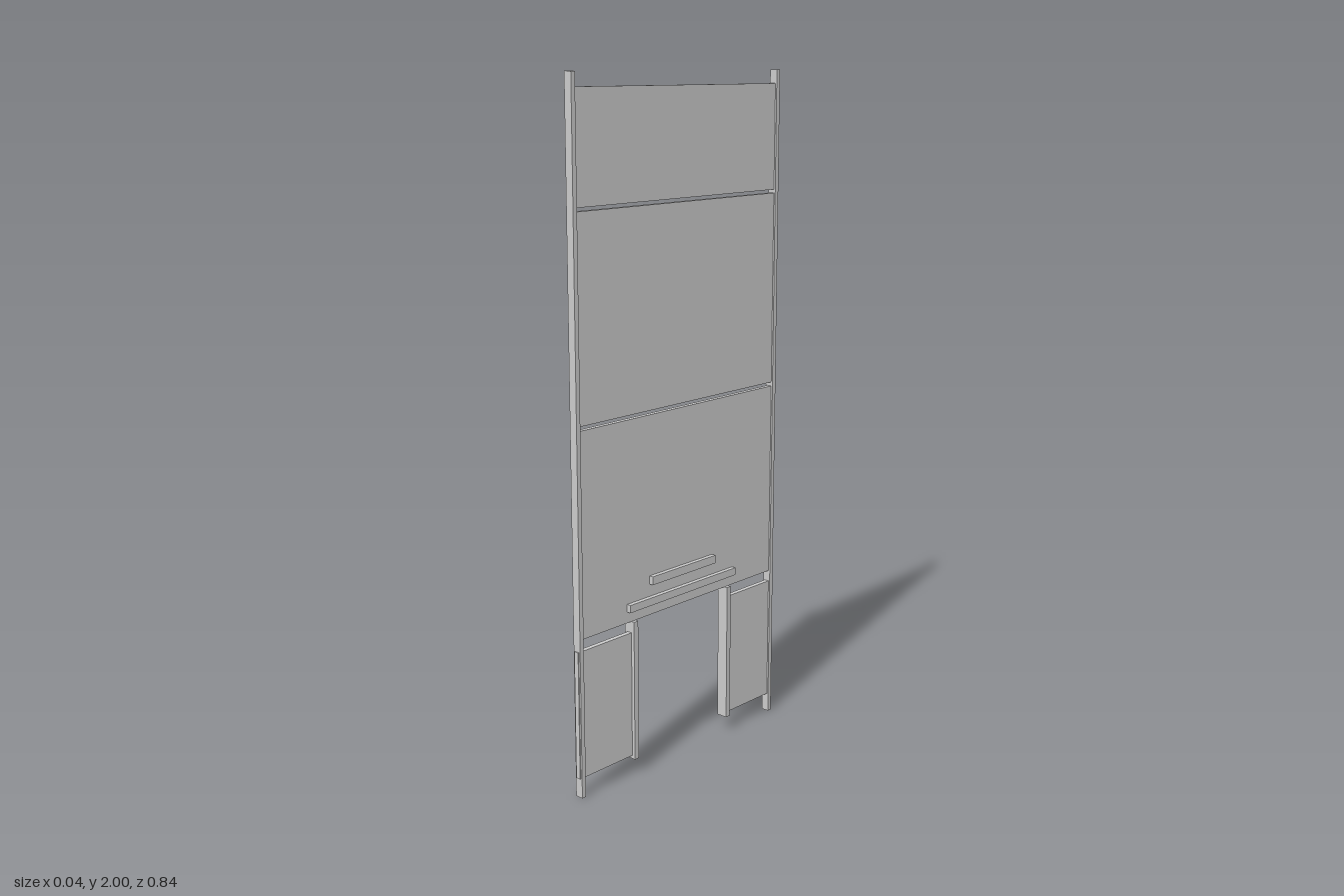
import * as THREE from 'three';

export function createModel() {
  const group = new THREE.Group();
  const material = new THREE.MeshStandardMaterial({ color: 0xcccccc, flatShading: true });

  // Box centred on x = 0, given its thickness and its y and z ranges
  function slab(name, thickness, y0, y1, z0, z1) {
    const mesh = new THREE.Mesh(new THREE.BoxGeometry(thickness, y1 - y0, z1 - z0), material);
    mesh.name = name;
    mesh.position.set(0, (y0 + y1) / 2, (z0 + z1) / 2);
    group.add(mesh);
  }

  // Three large panels stacked with narrow open gaps
  slab('lowerPanel', 0.015, 0.471, 1.062, -0.41, 0.41);
  slab('middlePanel', 0.015, 1.074, 1.645, -0.41, 0.41);
  slab('upperPanel', 0.015, 1.655, 1.961, -0.41, 0.41);

  // Two horizontal bars passing through the lower panel
  slab('longBar', 0.042, 0.504, 0.527, -0.227, 0.227);
  slab('shortBar', 0.042, 0.564, 0.589, -0.135, 0.135);

  // Outer posts, side panels and opening jambs, mirrored front to back
  for (const [label, s] of [['front', 1], ['back', -1]]) {
    const pair = (name, t, y0, y1, a, b) =>
      slab(label + name, t, y0, y1, Math.min(a * s, b * s), Math.max(a * s, b * s));
    pair('Post', 0.025, 0, 2, 0.403, 0.417);
    pair('SidePanel', 0.015, 0.058, 0.437, 0.2, 0.42);
    pair('Jamb', 0.036, 0.048, 0.471, 0.193, 0.21);
  }

  return group;
}
